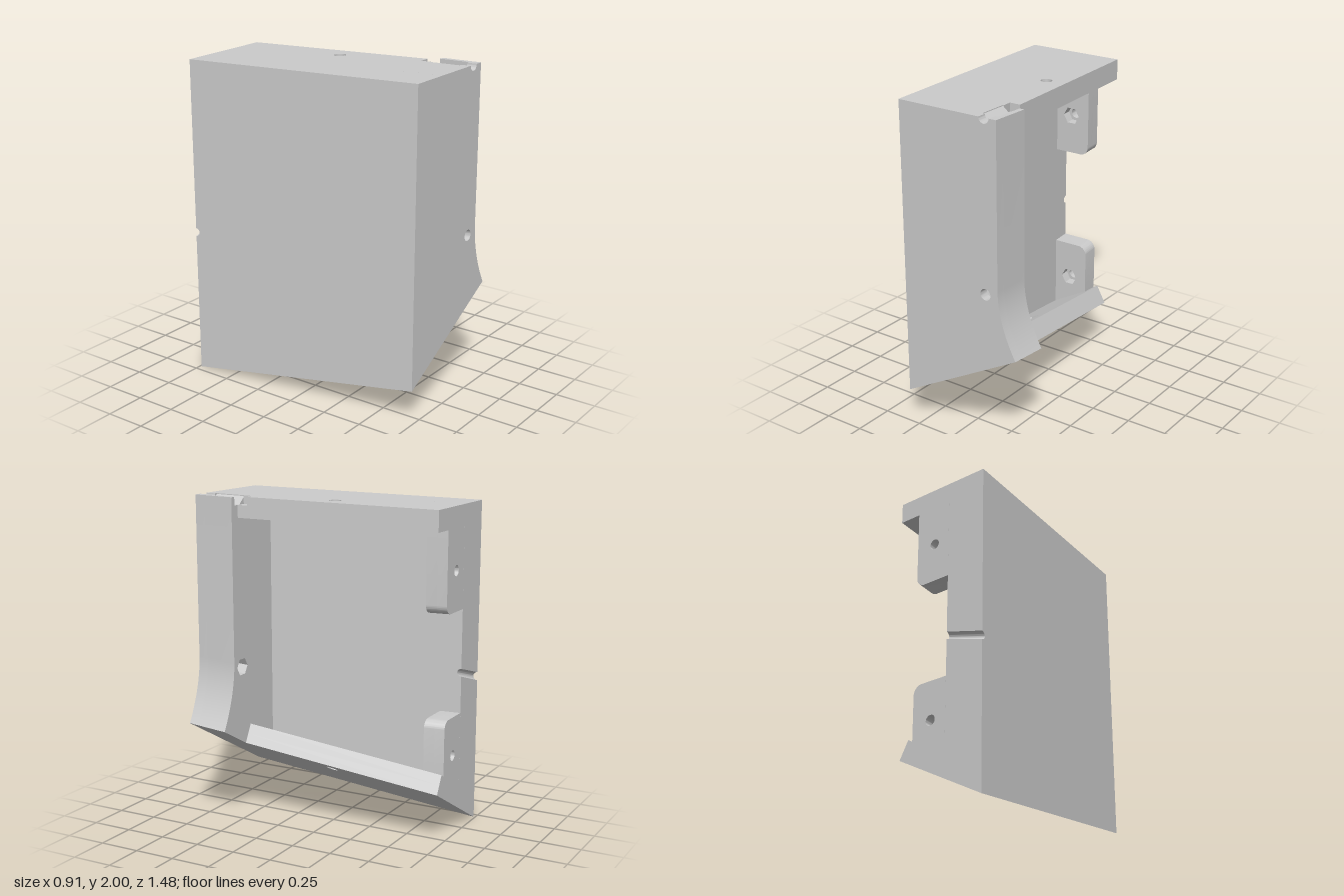
import * as THREE from 'three';
import { toCreasedNormals } from 'three/addons/utils/BufferGeometryUtils.js';

const K = 0.0946;                       // sideways lean of the body along z
const B = 0.55, C = 0.0865;             // slope of the underside in x and z
const floorY = (x, z) => 0.322 + B * x + C * z;
const topY = (z) => 1.985 + 0.0203 * z;
const material = new THREE.MeshStandardMaterial({ color: 0xcccccc });

function polygon(points) {
  return new THREE.Shape(points.map(([x, y]) => new THREE.Vector2(x, y)));
}

function roundHole(x, y, r) {
  return new THREE.Path().absarc(x, y, r, 0, Math.PI * 2, true);
}

// six-sided pocket for a nut
function hexHole(x, y, r) {
  const pts = [];
  for (let i = 0; i < 6; i++) {
    const a = (i * Math.PI) / 3;
    pts.push(new THREE.Vector2(x + r * Math.cos(a), y + r * Math.sin(a)));
  }
  pts.push(pts[0].clone());
  return new THREE.Path(pts);
}

// extrudes a shape from c0 to c1, then moves each vertex by a rule
function plate(name, shape, holes, c0, c1, rule) {
  shape.holes.push(...holes);
  const geo = new THREE.ExtrudeGeometry(shape, { depth: c1 - c0, bevelEnabled: false, curveSegments: 14 });
  const p = geo.attributes.position;
  for (let i = 0; i < p.count; i++) {
    p.setXYZ(i, ...rule(p.getX(i), p.getY(i), p.getZ(i) + c0));
  }
  const mesh = new THREE.Mesh(toCreasedNormals(geo, 0.5), material);
  mesh.name = name;
  return mesh;
}

export function createModel() {
  const group = new THREE.Group();
  group.name = 'housing';

  // thick side wall, drawn from the side, with a cable groove on its back edge
  const side = new THREE.Shape();
  side.moveTo(-0.74, 0.21);
  side.lineTo(0.74, 0.005);
  side.lineTo(0.74, 0.88);
  side.absarc(0.74, 0.905, 0.025, -Math.PI / 2, Math.PI / 2, true);
  side.lineTo(0.74, 1.97);
  side.lineTo(-0.74, 2);
  side.closePath();
  group.add(plate('sideWall', side, [], 0, 0.25, (a, y, h) => {
    const z = -a;
    const low = floorY(-0.39 + K * z, z);
    const f = (y - low) / (topY(z) - low);
    return [-0.39 + K * z + h, y + B * h * (1 - f), z];
  }));

  // top plate: nut pocket below, round hole and clip notch above
  const topRule = (u, b, h) => [u - K * b, topY(-b) + h, -b];
  const topHole = [0.101, 0.065];
  group.add(plate('topPlateLower',
    polygon([[-0.14, -0.49], [0.224, -0.49], [0.224, 0.74], [-0.14, 0.74]]),
    [hexHole(...topHole, 0.055)], -0.125, -0.05, topRule));
  group.add(plate('topPlateUpper',
    polygon([[-0.14, -0.49], [0.157, -0.49], [0.157, -0.43], [0.224, -0.43], [0.224, 0.74], [-0.14, 0.74]]),
    [roundHole(...topHole, 0.035)], -0.05, 0, topRule));

  // sloping bottom plate, thickness measured square to the slope
  const bottomRule = (u, b, h) => {
    const x = u - K * b;
    return [x - 0.48 * h, floorY(x, -b) + 0.877 * h, -b];
  };
  const bottomOutline = [[-0.14, -0.49], [0.177, -0.49], [0.177, 0.74], [-0.14, 0.74]];
  const bottomHole = [0.077, 0.03];
  group.add(plate('bottomPlateOuter', polygon(bottomOutline),
    [roundHole(...bottomHole, 0.033)], 0, 0.06, bottomRule));
  group.add(plate('bottomPlateInner', polygon(bottomOutline),
    [hexHole(...bottomHole, 0.055)], 0.06, 0.122, bottomRule));

  // front wall with flared lower edge; the notch differs in its two layers
  const zf = 0.615, top = topY(zf), left = -0.082;
  const frontRule = (x, y, z) => {
    const dz = z - zf;
    const w = THREE.MathUtils.clamp((0.335 - x) / (0.335 - left), 0, 1);
    const dx = K * dz * w;
    const low = floorY(x, zf);
    const f = (y - low) / (top - low);
    return [x + dx, y + f * 0.0203 * dz + (1 - f) * (C * dz + B * dx), z];
  };
  const frontShape = (notch) => {
    const s = new THREE.Shape();
    s.moveTo(left, floorY(left, zf));
    s.lineTo(0.453, floorY(0.453, zf));
    s.quadraticCurveTo(0.337, 0.83, 0.335, 1.02);
    s.lineTo(0.335, top);
    notch(s);
    s.lineTo(left, top);
    s.closePath();
    return s;
  };
  const pocket = (s) => {
    s.lineTo(0.305, top);
    s.lineTo(0.305, top - 0.05);
    s.lineTo(0.255, top - 0.05);
    s.lineTo(0.2, top - 0.005);
    s.lineTo(0.2, top);
  };
  const channel = (s) => {
    s.lineTo(0.286, top);
    s.absarc(0.252, top, 0.034, 0, -Math.PI, true);
  };
  group.add(plate('frontWallInner', frontShape(pocket),
    [hexHole(0.25, 0.98, 0.055)], 0.49, 0.68, frontRule));
  group.add(plate('frontWallOuter', frontShape(channel),
    [roundHole(0.25, 0.98, 0.035)], 0.68, 0.74, frontRule));

  // two back mounting tabs with rounded corners, each in two layers
  const zb = -0.68, x0 = -0.204, x1 = 0.025, r = 0.055;
  const backRule = (x, y, z) => [x + K * (z - zb), y, z];
  const upperTab = () => {
    const s = new THREE.Shape();
    s.moveTo(x0, topY(zb) - 0.12);
    s.lineTo(x0, 1.36);
    s.lineTo(x1 - r, 1.36);
    s.absarc(x1 - r, 1.36 + r, r, -Math.PI / 2, 0, false);
    s.lineTo(x1, topY(zb) - 0.12);
    s.closePath();
    return s;
  };
  const lowerTab = () => {
    const s = new THREE.Shape();
    s.moveTo(x0, floorY(x0, zb) + 0.1);
    s.lineTo(x1, floorY(x1, zb) + 0.1);
    s.lineTo(x1, 0.735 - r);
    s.absarc(x1 - r, 0.735 - r, r, 0, Math.PI / 2, false);
    s.lineTo(x0, 0.735);
    s.closePath();
    return s;
  };
  for (const [name, shape, y] of [['upperTab', upperTab, 1.6], ['lowerTab', lowerTab, 0.5]]) {
    group.add(plate(name + 'Outer', shape(), [roundHole(-0.1, y, 0.032)], -0.74, -0.68, backRule));
    group.add(plate(name + 'Inner', shape(), [hexHole(-0.1, y, 0.055)], -0.68, -0.615, backRule));
  }
  return group;
}
